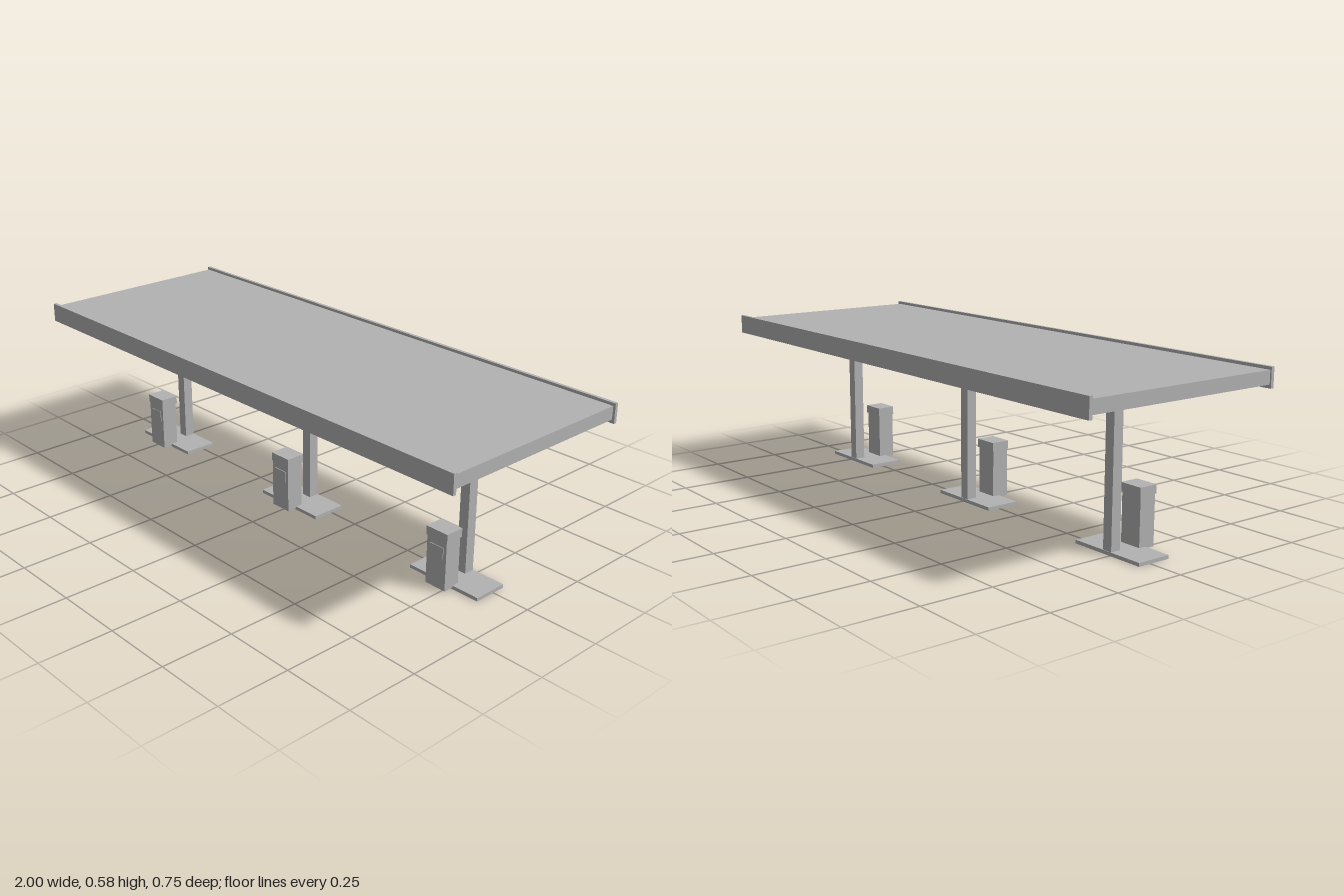
import * as THREE from 'three';

export function createModel() {
  const model = new THREE.Group();
  model.name = 'fuelCanopy';
  const grey = new THREE.MeshStandardMaterial({ color: 0xb2b2b2 });
  grey.name = 'plain grey';

  // Box given by its minimum and maximum corners
  function box(parent, name, [x0, y0, z0], [x1, y1, z1]) {
    const mesh = new THREE.Mesh(new THREE.BoxGeometry(x1 - x0, y1 - y0, z1 - z0), grey);
    mesh.position.set((x0 + x1) / 2, (y0 + y1) / 2, (z0 + z1) / 2);
    mesh.name = name;
    parent.add(mesh);
  }

  // Canopy roof with a raised fascia along each long edge
  box(model, 'canopyDeck', [-0.995, 0.522, -0.361], [0.992, 0.567, 0.361]);
  box(model, 'frontFascia', [-1, 0.51, 0.361], [1, 0.577, 0.373]);
  box(model, 'backFascia', [-1, 0.51, -0.373], [1, 0.577, -0.361]);

  // Three islands, each with a column and a pump
  for (const x of [-0.736, -0.007, 0.725]) {
    const island = new THREE.Group();
    island.name = 'pumpIsland';
    island.position.x = x;
    box(island, 'islandBase', [-0.141, 0, -0.047], [0.141, 0.012, 0.077]);
    box(island, 'column', [-0.018, 0.012, -0.045], [0.018, 0.522, -0.008]);
    box(island, 'pumpBody', [-0.04, 0.006, 0.052], [0.04, 0.176, 0.114]);
    box(island, 'pumpCap', [-0.043, 0.176, 0.048], [0.043, 0.206, 0.116]);
    box(island, 'pumpPanel', [-0.028, 0.114, 0.114], [0.028, 0.154, 0.1165]);
    model.add(island);
  }
  return model;
}
